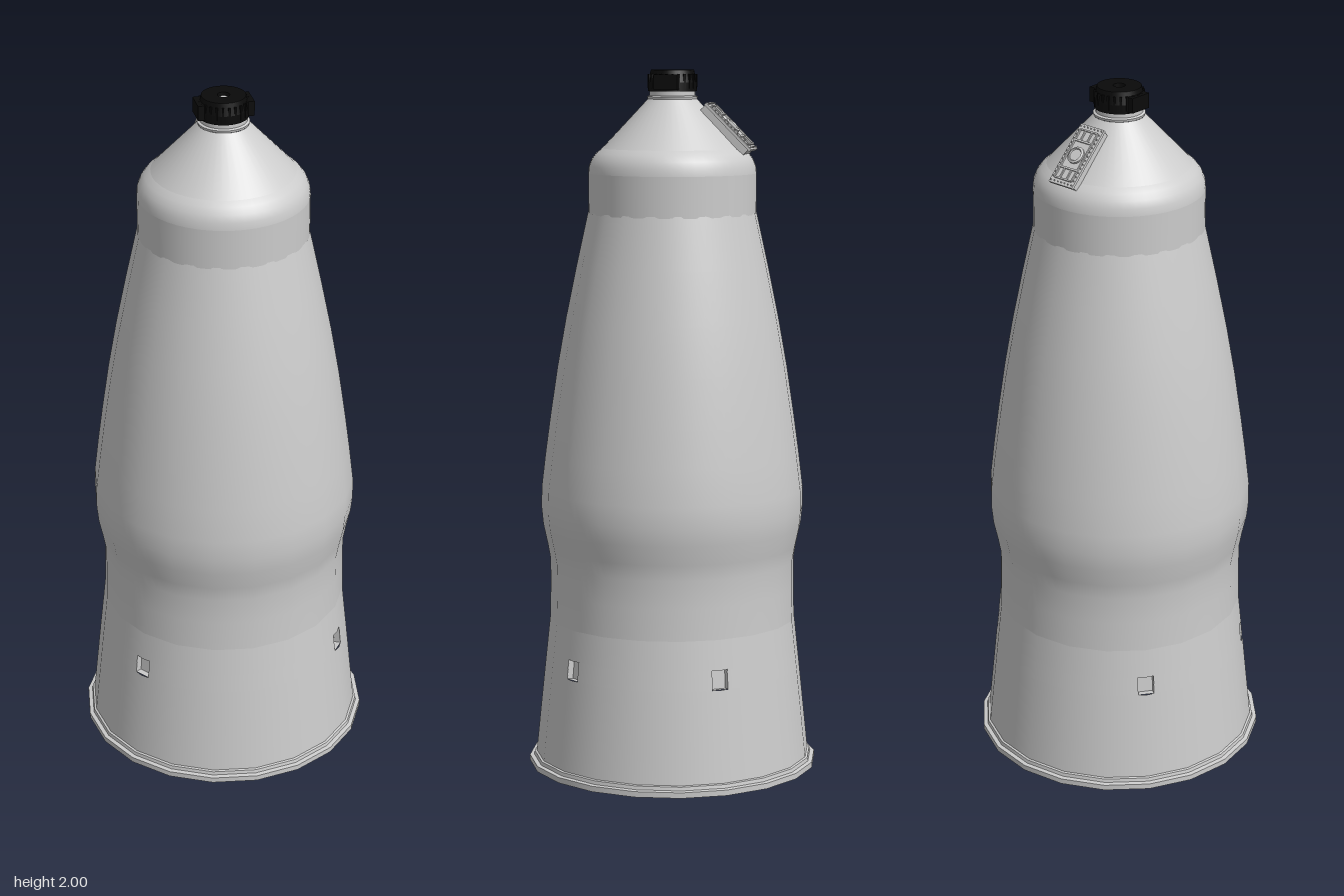
import * as THREE from 'three';
import { mergeGeometries } from 'three/addons/utils/BufferGeometryUtils.js';

const grey = new THREE.MeshStandardMaterial({ color: 0xcccccc });
const black = new THREE.MeshStandardMaterial({ color: 0x0a0a0a });
const pocketGrey = new THREE.MeshStandardMaterial({ color: 0xcccccc, side: THREE.BackSide });
const DEG = Math.PI / 180;

function add(parent, name, geometry, material = grey) {
  const mesh = new THREE.Mesh(geometry, material);
  mesh.name = name;
  parent.add(mesh);
  return mesh;
}

// Lathe from [radius, height] pairs; angles in degrees from +z towards +x
function lathe(points, segments, start = 0, length = 360) {
  return new THREE.LatheGeometry(points.map(([r, y]) => new THREE.Vector2(r, y)), segments, start * DEG, length * DEG);
}

// One lathe per profile step, so every step has a sharp edge
function sharpLathe(points, segments) {
  return mergeGeometries(points.slice(1).map((p, i) => lathe([points[i], p], segments)));
}

// Pulls a round geometry in to a 20-sided outline, keeping smooth normals
function facet(geometry) {
  const pos = geometry.attributes.position;
  const step = 18 * DEG;
  for (let i = 0; i < pos.count; i++) {
    const a = Math.atan2(pos.getX(i), pos.getZ(i)) + 2 * Math.PI;
    const k = Math.cos(step / 2) / Math.cos((a % step) - step / 2);
    pos.setX(i, pos.getX(i) * k);
    pos.setZ(i, pos.getZ(i) * k);
  }
  return geometry;
}

function box(w, h, d, x, y, z) {
  return new THREE.BoxGeometry(w, h, d).translate(x, y, z);
}

// Conical skirt with four small rectangular pockets
function buildSkirt(root) {
  const low = [0.37, 0.29], high = [0.364, 0.345];
  const half = 3.6;
  const angles = [54, 126, 234, 306];
  const parts = [lathe([[0.397, 0.03], low], 100), lathe([high, [0.355, 0.43]], 100)];
  angles.forEach((a, i) => {
    const next = i < 3 ? angles[i + 1] : angles[0] + 360;
    const span = next - a - 2 * half;
    parts.push(lathe([low, high], Math.round(span / half), a + half, span));
  });
  add(root, 'skirt', facet(mergeGeometries(parts)));

  for (const a of angles) {
    const holder = new THREE.Group();
    holder.name = 'ventPocket';
    holder.rotation.y = a * DEG;
    const pocket = add(holder, 'ventRecess', new THREE.BoxGeometry(0.046, 0.056, 0.02), pocketGrey);
    pocket.position.set(0, 0.3175, 0.354);
    pocket.rotation.x = -0.105;
    root.add(holder);
  }
}

// Bolted hatch lying on the rear of the nose cone
function buildHatch(root) {
  const hatch = new THREE.Group();
  hatch.name = 'hatch';
  hatch.position.set(0, 1.845, -0.174);
  hatch.rotation.x = -Math.PI / 4;
  add(hatch, 'hatchBase', box(0.076, 0.05, 0.176, 0, -0.033, 0.002));
  add(hatch, 'hatchPlate', box(0.085, 0.008, 0.184, 0, -0.005, 0));

  // Border and cross bars
  const bars = [];
  for (const s of [-1, 1]) {
    bars.push(box(0.004, 0.006, 0.15, s * 0.031, 0.001, 0));
    bars.push(box(0.062, 0.006, 0.004, 0, 0.001, s * 0.075));
    bars.push(box(0.062, 0.006, 0.005, 0, 0.001, s * 0.042));
    for (const x of [-0.012, 0.012]) bars.push(box(0.004, 0.005, 0.034, x, 0.001, s * 0.058));
  }
  add(hatch, 'hatchFrame', mergeGeometries(bars));

  // Bolts round the edge
  const bolts = [];
  const bolt = (x, z) => bolts.push(new THREE.CylinderGeometry(0.002, 0.002, 0.004, 6).translate(x, 0.0005, z));
  for (const s of [-1, 1]) {
    for (let i = 0; i < 14; i++) bolt(s * 0.037, -0.085 + i * 0.17 / 13);
    for (let i = 1; i < 6; i++) bolt(-0.037 + i * 0.074 / 6, s * 0.085);
  }
  add(hatch, 'hatchBolts', mergeGeometries(bolts));

  // Round port in the middle
  add(hatch, 'hatchPort', sharpLathe([[0.025, -0.002], [0.025, 0.004], [0.019, 0.007], [0.017, 0.004], [0, 0.004]], 20));
  root.add(hatch);
}

// Dark ribbed cap with a lug on each side
function buildCap(root) {
  const cap = new THREE.Group();
  cap.name = 'cap';
  add(cap, 'capBody', sharpLathe([
    [0.05, 1.938], [0.069, 1.94], [0.069, 1.965], [0.061, 2], [0.017, 2], [0.017, 1.985],
  ], 32), black);
  const ribs = [];
  for (let i = 0; i < 24; i++) {
    ribs.push(box(0.006, 0.04, 0.006, 0, 1.968, 0.067).rotateY(i * 15 * DEG));
  }
  add(cap, 'capRibs', mergeGeometries(ribs), black);
  for (const s of [-1, 1]) {
    add(cap, 'capLug', box(0.02, 0.042, 0.068, s * 0.068, 1.966, 0), black);
  }
  add(cap, 'capCentre', new THREE.CylinderGeometry(0.017, 0.017, 0.045, 20).translate(0, 1.967, 0));
  root.add(cap);
}

export function createModel() {
  const root = new THREE.Group();
  root.name = 'noseFairing';

  // Base flange with closed underside
  add(root, 'baseFlange', facet(sharpLathe([
    [0, 0], [0.417, 0], [0.417, 0.016], [0.405, 0.018], [0.403, 0.028], [0.397, 0.03],
  ], 100)));

  buildSkirt(root);

  // Waisted main shell
  add(root, 'mainShell', facet(lathe([
    [0.355, 0.43], [0.353, 0.52], [0.353, 0.6], [0.361, 0.645], [0.373, 0.7], [0.378, 0.75], [0.377, 0.81],
    [0.365, 0.91], [0.35, 1.02], [0.329, 1.16], [0.304, 1.3], [0.273, 1.45], [0.24, 1.6],
  ], 100)));

  // Collar, rounded shoulder and cone
  add(root, 'collar', lathe([[0.239, 1.595], [0.239, 1.71]], 48));
  add(root, 'shoulder', lathe([
    [0.239, 1.71], [0.237, 1.73], [0.229, 1.75], [0.216, 1.767], [0.2, 1.78],
  ], 48));
  add(root, 'cone', lathe([[0.2, 1.78], [0.07, 1.918]], 48));
  add(root, 'neck', sharpLathe([[0.07, 1.918], [0.072, 1.925], [0.065, 1.928], [0.065, 1.942]], 32));

  buildHatch(root);
  buildCap(root);
  return root;
}
